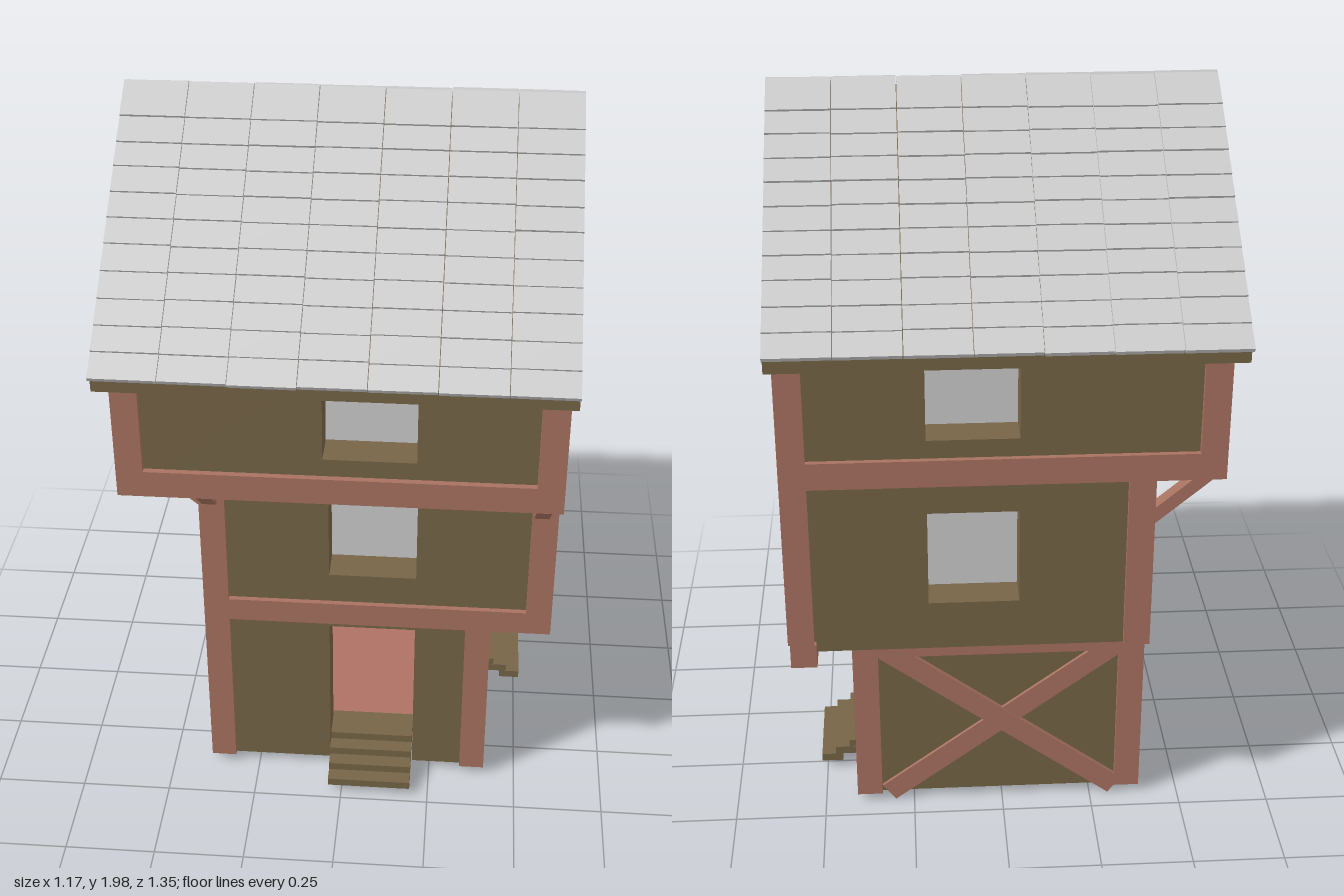
import * as THREE from 'three';

const mat = (color) => new THREE.MeshStandardMaterial({ color, flatShading: true });

export function createModel() {
  const model = new THREE.Group();
  const wood = mat(0xa87260), plaster = mat(0x766446), grey = mat(0xcccccc), doorMat = mat(0xd68c7c);

  const add = (name, geo, material, parent = model) => {
    const mesh = new THREE.Mesh(geo, material);
    mesh.name = name;
    parent.add(mesh);
    return mesh;
  };
  // Box given by its limits on each axis
  const box = (name, material, x0, x1, y0, y1, z0, z1) => {
    const m = add(name, new THREE.BoxGeometry(x1 - x0, y1 - y0, z1 - z0), material);
    m.position.set((x0 + x1) / 2, (y0 + y1) / 2, (z0 + z1) / 2);
    return m;
  };
  // Sloping timber in a plane across 'x' or 'z', between two (u, y) points
  const brace = (name, axis, at, [u0, y0], [u1, y1], width, thick) => {
    const geo = new THREE.BoxGeometry(Math.hypot(u1 - u0, y1 - y0), width, thick);
    geo.rotateZ(Math.atan2(y1 - y0, u1 - u0));
    geo.translate((u0 + u1) / 2, (y0 + y1) / 2, 0);
    if (axis === 'x') geo.rotateY(-Math.PI / 2);
    const m = add(name, geo, wood);
    m.position[axis] = at;
  };

  // Walls: outline with window holes, 0.1 thick, panes set at the back of each recess
  const DEPTH = 0.1;
  const wall = (name, axis, side, outer, outline, windows, openX) => {
    const shape = new THREE.Shape(outline.map(([u, y]) => new THREE.Vector2(u, y)));
    const [a, b] = openX;
    windows.forEach(([y0, y1]) => {
      shape.holes.push(new THREE.Path([[a, y0], [a, y1], [b, y1], [b, y0]].map((p) => new THREE.Vector2(...p))));
      pane('windowPane', grey, axis, side, outer, a, b, y0, y1);
    });
    const geo = new THREE.ExtrudeGeometry(shape, { depth: DEPTH, bevelEnabled: false });
    if (axis === 'x') {
      geo.rotateY(-Math.PI / 2);
      geo.translate(side > 0 ? outer : outer + DEPTH, 0, 0);
    } else geo.translate(0, 0, side > 0 ? outer - DEPTH : outer);
    add(name, geo, plaster);
  };
  const pane = (name, material, axis, side, outer, a, b, y0, y1) => {
    const c = outer - side * (DEPTH + 0.005), lo = c - 0.01, hi = c + 0.01;
    if (axis === 'x') box(name, material, lo, hi, y0, y1, a, b);
    else box(name, material, a, b, y0, y1, lo, hi);
  };
  const rect = (a, b, y0, y1) => [[a, y0], [b, y0], [b, y1], [a, y1]];
  const doorway = (a, b, y0, y1, [c, d], top) =>
    [[a, y0], [c, y0], [c, top], [d, top], [d, y0], [b, y0], [b, y1], [a, y1]];
  const openZ = [-0.04, 0.2], openX = [-0.28, -0.04];
  const mid = [0.71, 0.98], up = [1.19, 1.45];

  // Ground floor
  wall('groundFrontWall', 'z', 1, 0.355, doorway(-0.38, 0.4, 0.04, 0.58, openZ, 0.53), [], openZ);
  wall('groundRightWall', 'x', 1, 0.395, doorway(-0.42, 0.35, 0.04, 0.58, openX, 0.53), [], openX);
  wall('groundBackWall', 'z', -1, -0.425, rect(-0.38, 0.39, 0.04, 0.58), [], openZ);
  wall('groundSideWall', 'x', -1, -0.375, rect(-0.42, 0.35, 0.04, 0.58), [], openX);
  box('groundFloor', plaster, -0.37, 0.29, 0.04, 0.06, -0.42, 0.25);
  pane('frontDoor', doorMat, 'z', 1, 0.355, ...openZ, 0.04, 0.53);
  pane('sideDoor', doorMat, 'x', 1, 0.395, ...openX, 0.04, 0.53);

  // Middle floor
  wall('middleFrontWall', 'z', 1, 0.355, rect(-0.38, 0.555, 0.57, 1.08), [mid], openZ);
  wall('middleSideWall', 'x', -1, -0.375, rect(-0.5, 0.35, 0.57, 1.08), [mid], openX);
  wall('middleBackWall', 'z', -1, -0.505, rect(-0.38, 0.555, 0.57, 1.08), [mid], openZ);
  box('middleFloor', plaster, -0.37, 0.555, 0.57, 0.6, -0.5, 0.35);

  // Upper floor and gables
  const gableTop = [[0.505, 1.55], [0, 1.945], [-0.5, 1.55]];
  wall('upperFrontWall', 'z', 1, 0.508, rect(-0.55, 0.555, 1.08, 1.55), [up], openZ);
  wall('upperBackWall', 'z', -1, -0.505, rect(-0.55, 0.555, 1.08, 1.55), [up], openZ);
  wall('rightGableWall', 'x', 1, 0.56,
    [[-0.5, 0.57], [0.35, 0.57], [0.35, 1.08], [0.505, 1.08], ...gableTop], [mid, up], openX);
  wall('leftGableWall', 'x', -1, -0.555, [[-0.5, 1.08], [0.505, 1.08], ...gableTop], [up], openX);
  box('upperFloor', plaster, -0.55, 0.555, 1.07, 1.1, -0.5, 0.505);

  // Corner posts: x, z of the low corner, then bottom and top
  [[-0.39, 0.3, 0.04, 1.07], [0.34, 0.3, 0.04, 0.56], [-0.39, -0.44, 0.04, 0.58], [0.34, -0.44, 0.04, 0.58],
    [0.505, 0.3, 0.62, 1.14], [0.505, -0.52, 0.6, 1.55], [-0.39, -0.52, 0.57, 1.07],
    [-0.57, 0.455, 1.14, 1.55], [0.505, 0.455, 1.14, 1.55], [-0.57, -0.52, 1.14, 1.55],
  ].forEach(([x, z, y0, y1]) => box('cornerPost', wood, x, x + 0.07, y0, y1, z, z + 0.07));

  // Horizontal beams
  box('middleFrontBeam', wood, -0.32, 0.575, 0.55, 0.62, 0.3, 0.37);
  box('middleSideBeam', wood, 0.505, 0.575, 0.55, 0.62, -0.07, 0.3);
  box('middleSideBeamRear', wood, 0.5, 0.57, 0.53, 0.6, -0.52, -0.07);
  box('groundBackBeam', wood, -0.32, 0.34, 0.5, 0.57, -0.44, -0.38);
  box('upperFrontBeam', wood, -0.57, 0.575, 1.065, 1.14, 0.455, 0.525);
  box('upperBackBeam', wood, -0.5, 0.505, 1.065, 1.14, -0.52, -0.45);
  box('upperLeftBeam', wood, -0.57, -0.5, 1.065, 1.14, -0.52, 0.455);
  box('upperRightBeam', wood, 0.505, 0.575, 1.065, 1.14, 0.3, 0.455);

  // Diagonal timbers
  for (const s of [-1, 1]) brace('backCrossBrace', 'z', -0.412 - 0.002 * s, [-0.32 * s, 0.04], [0.32 * s, 0.52], 0.06, 0.05);
  brace('sideLongBrace', 'x', -0.36, [-0.39, 0.04], [0.33, 0.92], 0.06, 0.06);
  brace('sideShortBrace', 'x', -0.36, [0.31, 0.045], [-0.05, 0.44], 0.06, 0.055);
  for (const x of [0.545, -0.54]) brace('gableLongBrace', 'x', x, [0.42, 1.16], [-0.2, 1.75], 0.07, 0.05);
  brace('gableShortBrace', 'x', 0.545, [0.27, 1.7], [0.09, 1.55], 0.07, 0.045);

  // Knee brackets under the overhangs
  for (const z of [0.33, -0.47]) brace('sideKnee', 'z', z, [-0.55, 1.08], [-0.375, 0.93], 0.035, 0.04);
  for (const x of [-0.36, 0.53]) brace('frontKnee', 'x', x, [0.5, 1.08], [0.35, 0.945], 0.035, 0.04);

  // Steps up to each door
  for (let i = 0; i < 4; i++) {
    const out = 0.475 - 0.04 * i, back = i === 3 ? 0.25 : out - 0.06, y = 0.04 + 0.0235 * i;
    box('frontStep', plaster, -0.038, 0.198, y, y + 0.023, back, out);
    box('sideStep', plaster, back + 0.04, out + 0.04, y, y + 0.023, -0.278, -0.042);
  }

  // Roof boards
  const roof = new THREE.Shape([[0, 1.97], [0.64, 1.485], [0.64, 1.445], [0, 1.935], [-0.64, 1.445], [-0.64, 1.485]]
    .map((p) => new THREE.Vector2(...p)));
  const boards = new THREE.ExtrudeGeometry(roof, { depth: 1.17, bevelEnabled: false });
  boards.rotateY(-Math.PI / 2);
  boards.translate(0.585, 0, 0);
  add('roofBoards', boards, plaster);

  // Overlapping shingles, seven to a row, tilted a little off the slope
  let seed = 7;
  const rnd = () => (seed = (seed * 16807) % 2147483647) / 2147483647 - 0.5;
  const SLOPE = 0.757, angle = Math.atan(SLOPE);
  for (const side of [0, Math.PI]) {
    const slope = new THREE.Group();
    slope.name = 'roofSlope';
    slope.rotation.y = side;
    model.add(slope);
    for (let row = 0; row < 11; row++) {
      const zLow = 0.09 + 0.0575 * row;
      for (let col = -3; col <= 3; col++) {
        const geo = new THREE.BoxGeometry(0.1655, 0.013, 0.108);
        geo.translate(0, 0.0065, -0.054);
        const s = add('shingle', geo, grey, slope);
        const z = zLow + rnd() * 0.004;
        s.position.set(col * 0.1675, 1.979 - SLOPE * z + 0.011, z);
        s.rotation.set(angle - 0.08 + rnd() * 0.03, 0, rnd() * 0.012);
      }
    }
  }
  return model;
}
